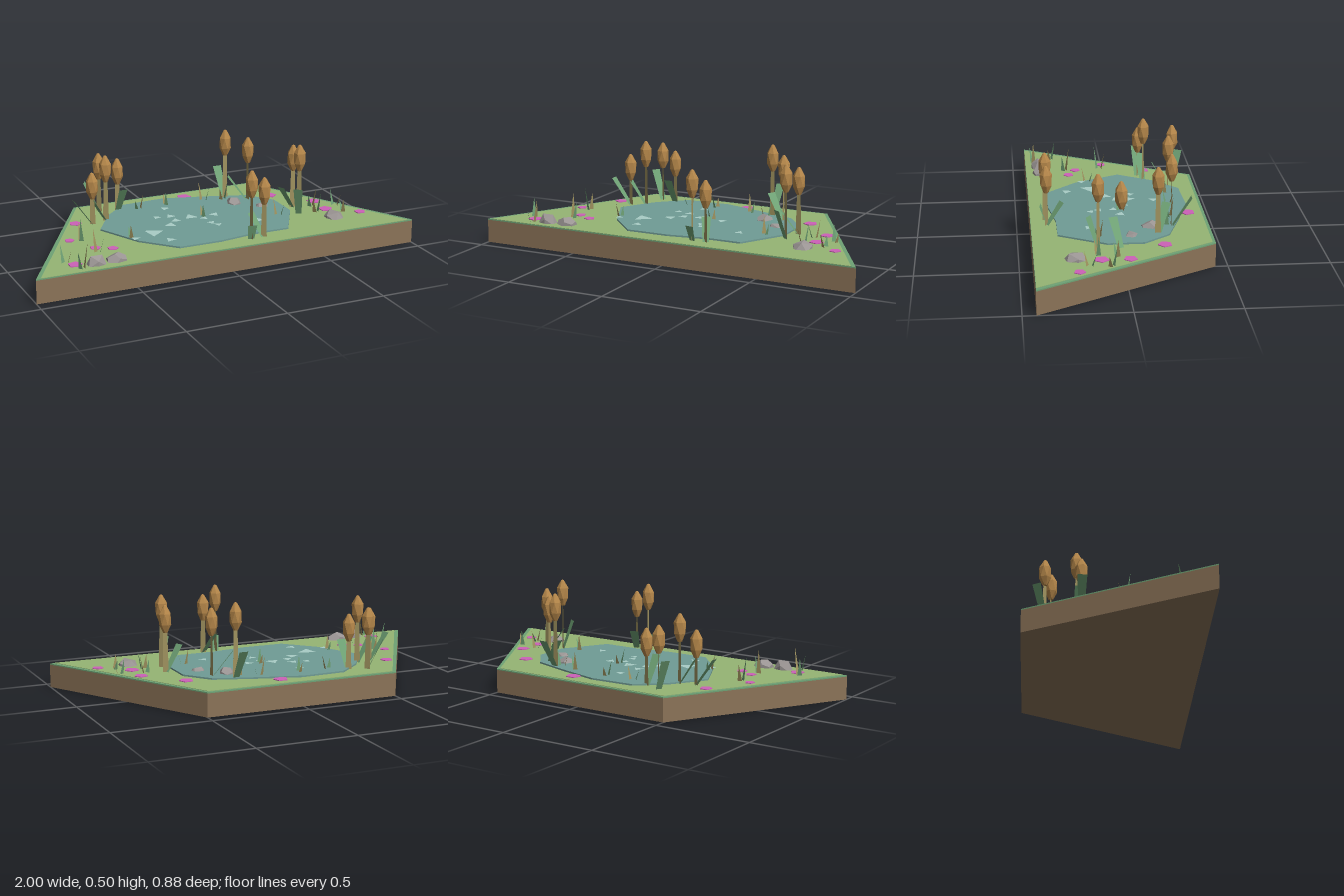
import * as THREE from 'three';

const mat = (name, color, extra = {}) => {
  const m = new THREE.MeshStandardMaterial({ color, flatShading: true, ...extra });
  m.name = name;
  return m;
};
const DS = { side: THREE.DoubleSide };
const M = {
  dirt: mat('dirt brown', 0x8b7358),
  grass: mat('grass green', 0x96b574),
  leaf: mat('leaf green', 0x6fa275, DS),
  water: mat('water teal', 0x709c95),
  glint: mat('pale water', 0xa9cdc6),
  stem: mat('stem olive', 0xa0935f, DS),
  head: mat('reed brown', 0xb5874a),
  rock: mat('rock grey', 0x9b9594),
  pink: mat('petal pink', 0xcd62b8),
};

const GROUND = 0.124;

// Flat slab from an outline of [x, z] points
function slab(points, y, height) {
  const shape = new THREE.Shape(points.map(([x, z]) => new THREE.Vector2(x, -z)));
  const g = new THREE.ExtrudeGeometry(shape, { depth: height, bevelEnabled: false });
  g.rotateX(-Math.PI / 2);
  g.translate(0, y, 0);
  return g;
}

// Flat ribbon between two points, w = width vector, with separate end widths
function ribbon(a, b, w, w0, w1) {
  const p = [[a, -w0], [a, w0], [b, w1], [b, -w1]].map(([c, s]) => c.clone().addScaledVector(w, s / 2));
  const g = new THREE.BufferGeometry().setFromPoints(p);
  g.setIndex([0, 1, 2, 0, 2, 3]);
  g.computeVertexNormals();
  return g;
}

// Faceted seed head: rings alternately turned by half a side
function headGeometry() {
  const profile = [[0, 0], [0.012, 0.002], [0.03, 0.042], [0.03, 0.096], [0.008, 0.136], [0, 0.14]];
  const n = 6, pos = [], index = [];
  profile.forEach(([r, y], k) => {
    for (let i = 0; i < n; i++) {
      const t = (i + (k % 2) / 2) / n * Math.PI * 2;
      pos.push(r * Math.sin(t), y, r * Math.cos(t));
    }
  });
  for (let k = 0; k < profile.length - 1; k++) {
    for (let i = 0; i < n; i++) {
      const j = (i + 1) % n, a = k * n + i, b = k * n + j, c = a + n, d = b + n;
      if (k % 2) index.push(a, b, d, a, d, c);
      else index.push(a, b, c, b, d, c);
    }
  }
  const g = new THREE.BufferGeometry();
  g.setAttribute('position', new THREE.Float32BufferAttribute(pos, 3));
  g.setIndex(index);
  g.computeVertexNormals();
  return g;
}

export function createModel() {
  const root = new THREE.Group();
  const add = (name, geometry, material, parent = root) => {
    const mesh = new THREE.Mesh(geometry, material);
    mesh.name = name;
    parent.add(mesh);
    return mesh;
  };
  const group = (name) => {
    const g = new THREE.Group();
    g.name = name;
    root.add(g);
    return g;
  };

  // Ground: earth block, green rim and turf
  const outline = [[-1, 0.436], [1, 0.436], [0.5, -0.44], [-0.5, -0.44]];
  add('earthBlock', slab(outline, 0, 0.116), M.dirt);
  add('turfRim', slab(outline, 0.116, 0.006), M.leaf);
  add('turf', slab([[-0.975, 0.434], [0.975, 0.434], [0.49, -0.425], [-0.49, -0.425]], 0.121, 0.003), M.grass);

  // Pond
  add('pond', slab([[-0.26, -0.35], [-0.03, -0.36], [0.18, -0.30], [0.39, -0.23], [0.49, -0.10],
    [0.49, 0.08], [0.36, 0.31], [0.17, 0.31], [-0.02, 0.34], [-0.24, 0.34], [-0.39, 0.18],
    [-0.50, -0.05], [-0.39, -0.23]], GROUND, 0.008), M.water);

  // Pale triangles on the water: x, z, radius
  const glints = group('waterGlints');
  [[-0.09, -0.20, 0.027], [-0.18, -0.09, 0.025], [-0.11, -0.08, 0.03], [-0.02, -0.03, 0.04],
    [-0.11, -0.01, 0.03], [-0.16, 0.04, 0.034], [0.035, 0.015, 0.025], [0.105, -0.015, 0.03],
    [0.04, 0.09, 0.025], [0.06, 0.13, 0.023], [-0.28, 0.11, 0.055], [-0.395, 0.15, 0.026],
    [-0.245, 0.235, 0.03], [0.28, 0.155, 0.027]].forEach(([x, z, r], i) => {
    const m = add('waterGlint', new THREE.CircleGeometry(r, 3).rotateX(-Math.PI / 2), M.glint, glints);
    m.position.set(x, 0.1345, z);
    m.rotation.y = i * 1.9;
  });

  // Flat five-sided flowers
  const flowers = group('flowers');
  [[0.085, -0.355, 0.038], [-0.58, -0.195, 0.032], [0.51, -0.195, 0.036], [-0.69, 0.025, 0.025],
    [-0.61, 0.17, 0.027], [-0.535, 0.21, 0.028], [-0.775, 0.34, 0.036], [0.675, -0.015, 0.034],
    [0.675, 0.12, 0.037], [0.815, 0.23, 0.029]].forEach(([x, z, r], i) => {
    const m = add('flower', new THREE.CylinderGeometry(r, r, 0.004, 5), M.pink, flowers);
    m.position.set(x, GROUND + 0.002, z);
    m.rotation.y = i * 1.3;
  });

  // Rocks: x, z, half width, half depth, top height
  const rocks = group('rocks');
  [[-0.68, 0.37, 0.055, 0.04, 0.17], [-0.575, 0.36, 0.058, 0.045, 0.158], [0.655, 0.24, 0.055, 0.062, 0.157],
    [0.28, -0.15, 0.046, 0.055, 0.157], [0.39, -0.045, 0.048, 0.038, 0.148]].forEach(([x, z, w, d, top], i) => {
    const g = (i % 2 ? new THREE.DodecahedronGeometry(1) : new THREE.IcosahedronGeometry(1)).rotateY(i * 0.9);
    const m = add('rock', g, M.rock, rocks);
    m.scale.set(w, (top - 0.115) / 0.9, d);
    m.position.set(x, 0.115, z);
  });

  // Cattails: x, z, top height, stem yaw, then leaf tip x, z, y
  const head = headGeometry();
  const cattails = group('cattails');
  [[-0.40, -0.33, 0.435, 0.8, -0.465, -0.37, 0.275], [-0.31, -0.30, 0.405, 0.3, -0.31, -0.215, 0.26],
    [-0.42, -0.18, 0.468, 0.5, -0.50, -0.165, 0.25], [-0.50, -0.158, 0.395, 0.4, -0.60, -0.155, 0.26],
    [0.275, -0.25, 0.50, 0, 0.275, -0.35, 0.275], [0.37, -0.175, 0.468, 1.45, 0.28, -0.225, 0.255],
    [0.535, 0.017, 0.46, 0.1, 0.45, 0.05, 0.25], [0.515, 0.125, 0.492, 0.7, 0.485, 0.17, 0.27],
    [0.13, 0.36, 0.475, 1.4, 0.125, 0.385, 0.20], [0.20, 0.357, 0.43, 0.6, 0.165, 0.28, 0.23],
  ].forEach(([x, z, top, yaw, lx, lz, ly]) => {
    const base = new THREE.Vector3(x, 0.12, z);
    const neck = new THREE.Vector3(x, top - 0.13, z);
    const across = new THREE.Vector3(Math.cos(yaw), 0, Math.sin(yaw));
    add('cattailStem', ribbon(base, neck, across, 0.03, 0.02), M.stem, cattails);
    const h = add('cattailHead', head, M.head, cattails);
    h.position.set(x, top - 0.14, z);
    h.rotation.y = yaw;
    const side = new THREE.Vector3(lz - z, 0, x - lx).normalize();
    add('cattailLeaf', ribbon(base, new THREE.Vector3(lx, ly, lz), side, 0.03, 0.046), M.leaf, cattails);
  });

  // Grass tufts of pointed blades: x, z, height
  const tufts = group('grassTufts');
  [[-0.21, -0.27, 0.08], [-0.05, -0.27, 0.08], [0.15, -0.25, 0.10], [0.25, -0.23, 0.10], [-0.40, 0.12, 0.08],
    [-0.81, 0.30, 0.09], [-0.76, 0.39, 0.12], [-0.63, 0.04, 0.12], [0.40, 0.12, 0.09], [0.61, 0.13, 0.10],
    [0.745, 0.18, 0.07], [0.75, 0.08, 0.08], [0.63, 0.04, 0.09], [0.05, -0.02, 0.08], [-0.62, 0.23, 0.12],
  ].forEach(([x, z, height], i) => {
    for (let k = 0; k < 2; k++) {
      const t = i * 2.1 + k * 2.4, s = k ? 0.7 : 1;
      const a = new THREE.Vector3(x + 0.012 * Math.cos(t), 0.122, z + 0.012 * Math.sin(t));
      const b = a.clone().add(new THREE.Vector3(0.018 * Math.cos(t), height * s, 0.018 * Math.sin(t)));
      const across = new THREE.Vector3(-Math.sin(t), 0, Math.cos(t));
      add('grassBlade', ribbon(a, b, across, 0.024, 0.001), (i + k) % 2 ? M.leaf : M.stem, tufts);
    }
  });

  return root;
}
